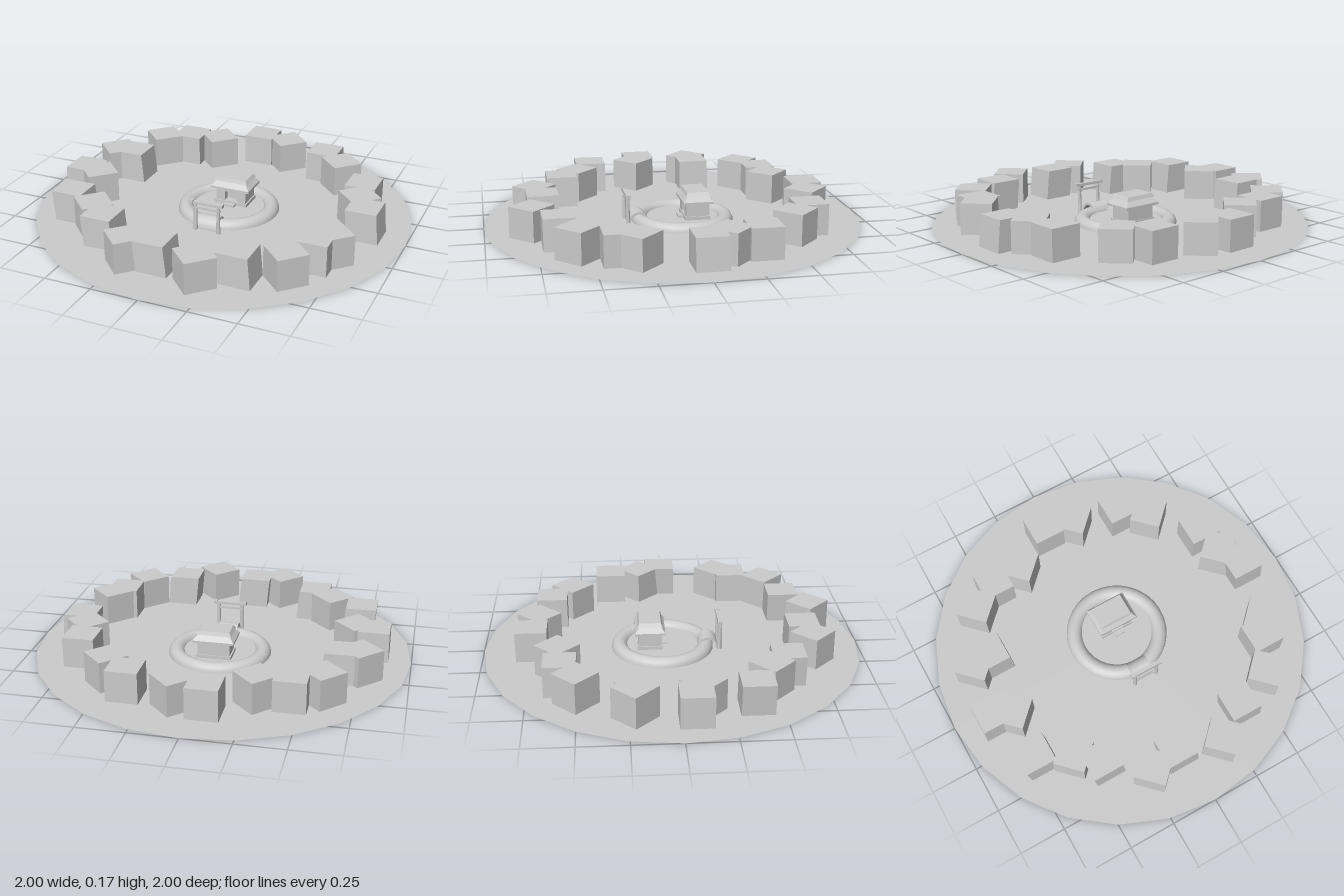
import * as THREE from 'three';

const grey = new THREE.MeshStandardMaterial({ color: 0xcccccc, flatShading: true });
const smooth = new THREE.MeshStandardMaterial({ color: 0xcccccc, side: THREE.DoubleSide });

function add(parent, name, geometry, x = 0, y = 0, z = 0, material = grey) {
  const mesh = new THREE.Mesh(geometry, material);
  mesh.name = name;
  mesh.position.set(x, y, z);
  parent.add(mesh);
  return mesh;
}

// Box standing on its base; lean slides the base towards +x
function block(size, height, lean) {
  const g = new THREE.BoxGeometry(size, height, size).translate(0, height / 2, 0);
  const p = g.attributes.position;
  for (let i = 0; i < p.count; i++) if (p.getY(i) < height / 2) p.setX(i, p.getX(i) + lean);
  g.computeVertexNormals();
  return g;
}

// Rectangular frustum standing on its base
function frustum(w0, d0, w1, d1, h) {
  const g = new THREE.BoxGeometry(1, h, 1).translate(0, h / 2, 0);
  const p = g.attributes.position;
  for (let i = 0; i < p.count; i++) {
    const top = p.getY(i) > h / 2;
    p.setX(i, p.getX(i) * (top ? w1 : w0));
    p.setZ(i, p.getZ(i) * (top ? d1 : d0));
  }
  g.computeVertexNormals();
  return g;
}

function houses() {
  const group = new THREE.Group();
  group.name = 'houseRing';
  const straight = [[-0.064, -0.741], [0.353, -0.645], [0.68, -0.318], [-0.455, -0.583], [-0.797, 0.067], [0.65, 0.38]];
  const leaning = [[-0.658, -0.233], [-0.706, 0.366], [-0.425, 0.559], [-0.064, 0.69], [0.348, 0.639], [0.77, -0.03]];
  const turned = [[0.1, -0.706], [0.484, -0.535], [0.705, -0.155], [-0.286, -0.6], [-0.596, -0.503], [-0.75, -0.22],
    [-0.698, 0.107], [-0.532, 0.46], [-0.21, 0.722], [0.179, 0.759], [0.564, 0.561], [0.703, 0.294]];
  const place = (list, name, lean, yaw) => list.forEach(([x, z]) => {
    add(group, name, block(0.165, 0.164, lean), x, 0.001, z).rotation.y = yaw;
  });
  place(straight, 'house', 0, 0);
  place(leaning, 'leaningHouse', 0.015, 0);
  place(turned, 'turnedHouse', 0, Math.PI / 4);
  return group;
}

function shrine() {
  const group = new THREE.Group();
  group.name = 'shrine';
  group.position.set(0.016, 0, -0.118);
  add(group, 'plinth', new THREE.BoxGeometry(0.185, 0.02, 0.135), 0, 0.025, 0);
  // Back room with an open porch in front
  add(group, 'room', new THREE.BoxGeometry(0.17, 0.075, 0.085), 0, 0.07, -0.02);
  for (const s of [-1, 1]) {
    add(group, 'porchWall', new THREE.BoxGeometry(0.05, 0.075, 0.04), s * 0.06, 0.07, 0.042);
  }
  add(group, 'lintel', new THREE.BoxGeometry(0.17, 0.018, 0.04), 0, 0.098, 0.042);
  add(group, 'step', new THREE.BoxGeometry(0.06, 0.012, 0.03), 0, 0.021, 0.08);
  // Stacked roof
  add(group, 'eaves', new THREE.BoxGeometry(0.22, 0.012, 0.16), 0, 0.112, 0);
  add(group, 'lowerRoof', frustum(0.22, 0.16, 0.165, 0.11, 0.03), 0, 0.118, 0);
  add(group, 'upperRoof', frustum(0.19, 0.13, 0.165, 0.115, 0.02), 0, 0.147, 0);
  return group;
}

function gate() {
  const group = new THREE.Group();
  group.name = 'gate';
  group.position.set(0.014, 0, 0.253);
  for (const s of [-1, 1]) {
    add(group, 'post', new THREE.CylinderGeometry(0.009, 0.011, 0.15, 10), s * 0.064, 0.075, 0);
    add(group, 'beamEnd', new THREE.BoxGeometry(0.016, 0.018, 0.026), s * 0.082, 0.159, 0);
  }
  add(group, 'topBeam', new THREE.BoxGeometry(0.17, 0.014, 0.02), 0, 0.157, 0);
  add(group, 'crossBeam', new THREE.BoxGeometry(0.15, 0.011, 0.012), 0, 0.13, 0);
  return group;
}

// Arched deck crossing the raised ring
function bridge() {
  const shape = new THREE.Shape();
  shape.absellipse(0, 0, 0.055, 0.062, 0, Math.PI, false);
  shape.absellipse(0, 0, 0.045, 0.05, Math.PI, 0, true);
  shape.closePath();
  const g = new THREE.ExtrudeGeometry(shape, { depth: 0.11, bevelEnabled: false, curveSegments: 10 });
  return g.translate(0, 0, -0.055).rotateY(Math.PI / 2);
}

export function createModel() {
  const model = new THREE.Group();
  model.name = 'village';

  // Ground disc with 24 sides
  add(model, 'ground', new THREE.CircleGeometry(1, 24).rotateX(-Math.PI / 2), 0, 0, 0, smooth);
  model.add(houses());

  // Rounded ring around a flat court
  const profile = [];
  for (let i = 0; i <= 10; i++) {
    const a = (i / 10) * Math.PI;
    profile.push(new THREE.Vector2(0.23 + 0.043 * Math.cos(a), 0.001 + 0.043 * Math.sin(a)));
  }
  add(model, 'ring', new THREE.LatheGeometry(profile, 32), 0.008, 0, -0.05, smooth);
  add(model, 'court', new THREE.CylinderGeometry(0.2, 0.2, 0.016, 32), 0.008, 0.009, -0.05);

  model.add(shrine(), gate());
  add(model, 'bridge', bridge(), 0.01, 0.001, 0.192);
  return model;
}
